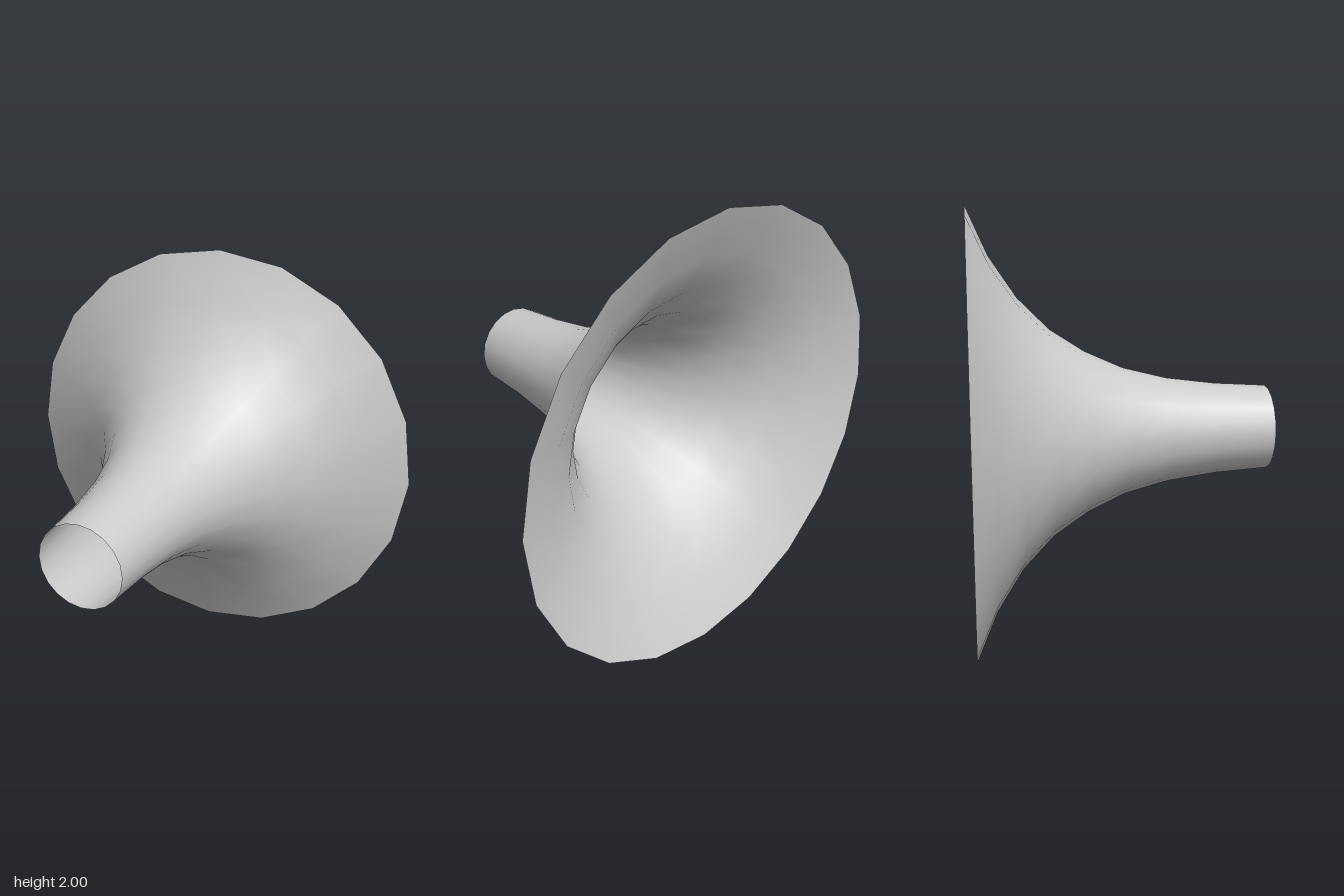
import * as THREE from 'three';

export function createModel() {
  const group = new THREE.Group();
  const material = new THREE.MeshStandardMaterial({ color: 0xcccccc, side: THREE.DoubleSide });

  // Flare profile as [radius, z], from the wide rim at the back to the narrow mouth in front
  const profile = [
    [1, -0.675], [0.785, -0.58], [0.605, -0.46], [0.465, -0.32], [0.365, -0.165],
    [0.287, 0.01], [0.237, 0.21], [0.208, 0.435], [0.193, 0.675],
  ].map(([r, z]) => new THREE.Vector2(r, z));

  // Thin open horn with 20 sides, its axis turned from y to z
  const geometry = new THREE.LatheGeometry(profile, 20);
  geometry.rotateX(Math.PI / 2);

  const horn = new THREE.Mesh(geometry, material);
  horn.name = 'hornBell';
  horn.position.y = 1;
  group.add(horn);
  return group;
}
